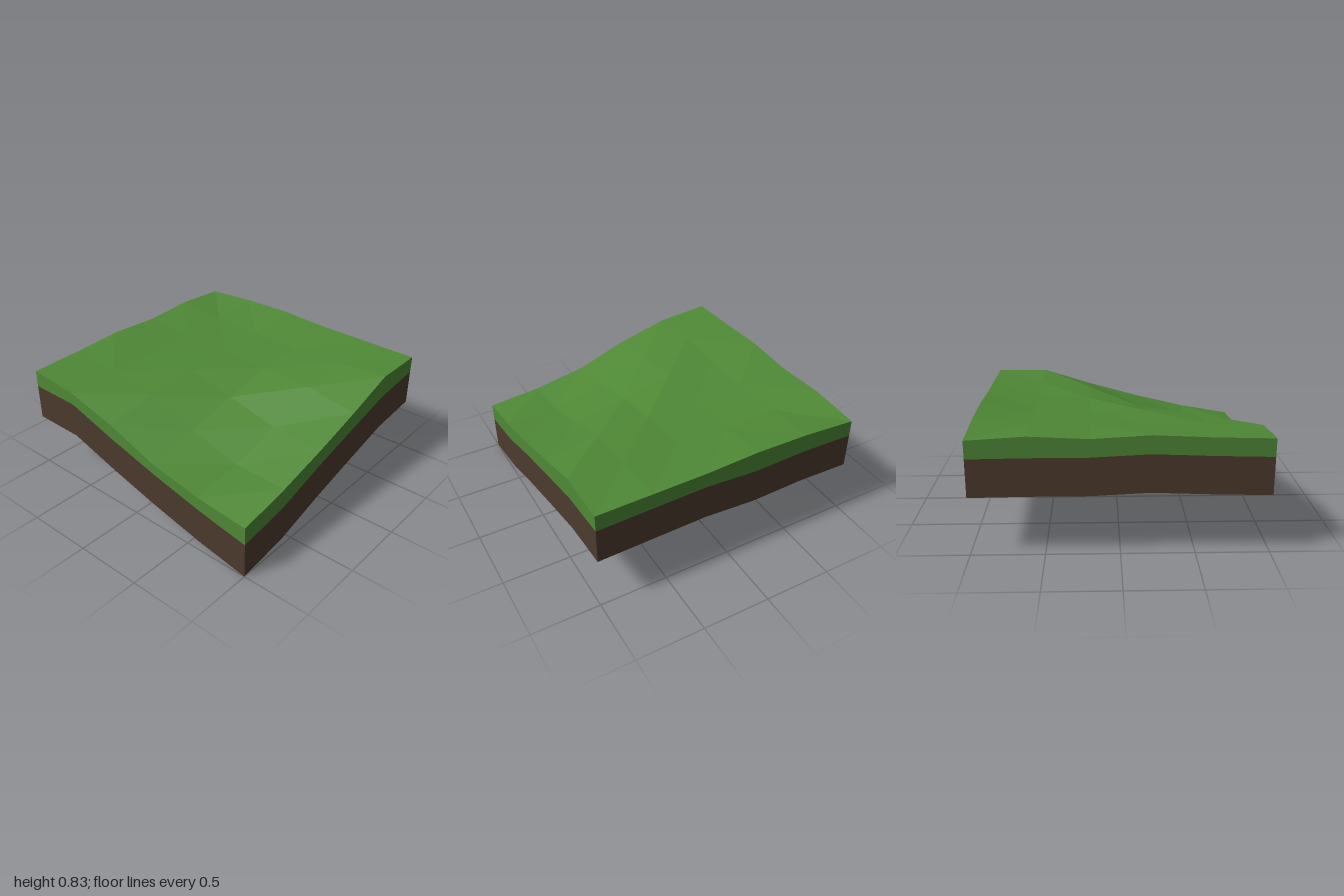
import * as THREE from 'three';

const N = 5; // cells per side
const BROWN_DEPTH = 0.265; // height of the earth band
const at = (i) => -1 + (2 * i) / N;

// Turf heights: rows run back to front, columns from -x to +x
const HEIGHTS = [
  [0.80, 0.825, 0.83, 0.81, 0.805, 0.80],
  [0.825, 0.79, 0.775, 0.77, 0.785, 0.80],
  [0.805, 0.78, 0.76, 0.755, 0.74, 0.675],
  [0.828, 0.775, 0.765, 0.68, 0.59, 0.565],
  [0.81, 0.78, 0.73, 0.59, 0.48, 0.47],
  [0.80, 0.765, 0.66, 0.515, 0.44, 0.40],
];

// Lower rim heights, walked front, right, back, left
const RIM = [
  [0.41, 0.405, 0.28, 0.17, 0.075, 0],
  [0, 0.06, 0.175, 0.275, 0.37, 0.41],
  [0.41, 0.42, 0.43, 0.405, 0.42, 0.41],
  [0.41, 0.415, 0.415, 0.435, 0.42, 0.41],
];
// Grid cell [column, row] of step k along each side, in the same order
const SIDES = [
  (k) => [k, N],
  (k) => [N, N - k],
  (k) => [N - k, 0],
  (k) => [0, k],
];

// Separate triangles give faceted normals
function facetedMesh(name, points, material) {
  const geometry = new THREE.BufferGeometry().setFromPoints(points);
  geometry.computeVertexNormals();
  const mesh = new THREE.Mesh(geometry, material);
  mesh.name = name;
  return mesh;
}

function material(name, color) {
  const m = new THREE.MeshStandardMaterial({ color, side: THREE.DoubleSide });
  m.name = name;
  return m;
}

// Rolling turf surface
function turfPoints() {
  const p = (i, j) => new THREE.Vector3(at(i), HEIGHTS[j][i], at(j));
  const points = [];
  for (let j = 0; j < N; j++) {
    for (let i = 0; i < N; i++) {
      const a = p(i, j), b = p(i + 1, j), c = p(i, j + 1), d = p(i + 1, j + 1);
      const flipped = (i < 2 && j < 2) || (i === 0 && j === 3);
      if (flipped) points.push(a, c, d, a, d, b);
      else points.push(a, c, b, b, c, d);
    }
  }
  return points;
}

// One band of a side wall between two height rules
function bandPoints(side, low, high) {
  const points = [];
  const p = (k, rule) => {
    const [i, j] = SIDES[side](k);
    return new THREE.Vector3(at(i), rule(k, i, j), at(j));
  };
  for (let k = 0; k < N; k++) {
    const a = p(k, low), b = p(k + 1, low), c = p(k + 1, high), d = p(k, high);
    points.push(a, b, c, a, c, d);
  }
  return points;
}

export function createModel() {
  const grass = material('grass green', 0x4f8936);
  const earth = material('earth brown', 0x4d3b2e);

  const model = new THREE.Group();
  model.name = 'hillsideTile';
  model.add(facetedMesh('turf', turfPoints(), grass));

  // Open-bottomed skirt: grass band above an earth band
  ['front', 'right', 'back', 'left'].forEach((label, s) => {
    const rim = (k) => RIM[s][k];
    const seam = (k) => RIM[s][k] + BROWN_DEPTH;
    const top = (k, i, j) => HEIGHTS[j][i];
    model.add(facetedMesh(label + 'GrassEdge', bandPoints(s, seam, top), grass));
    model.add(facetedMesh(label + 'EarthEdge', bandPoints(s, rim, seam), earth));
  });
  return model;
}
